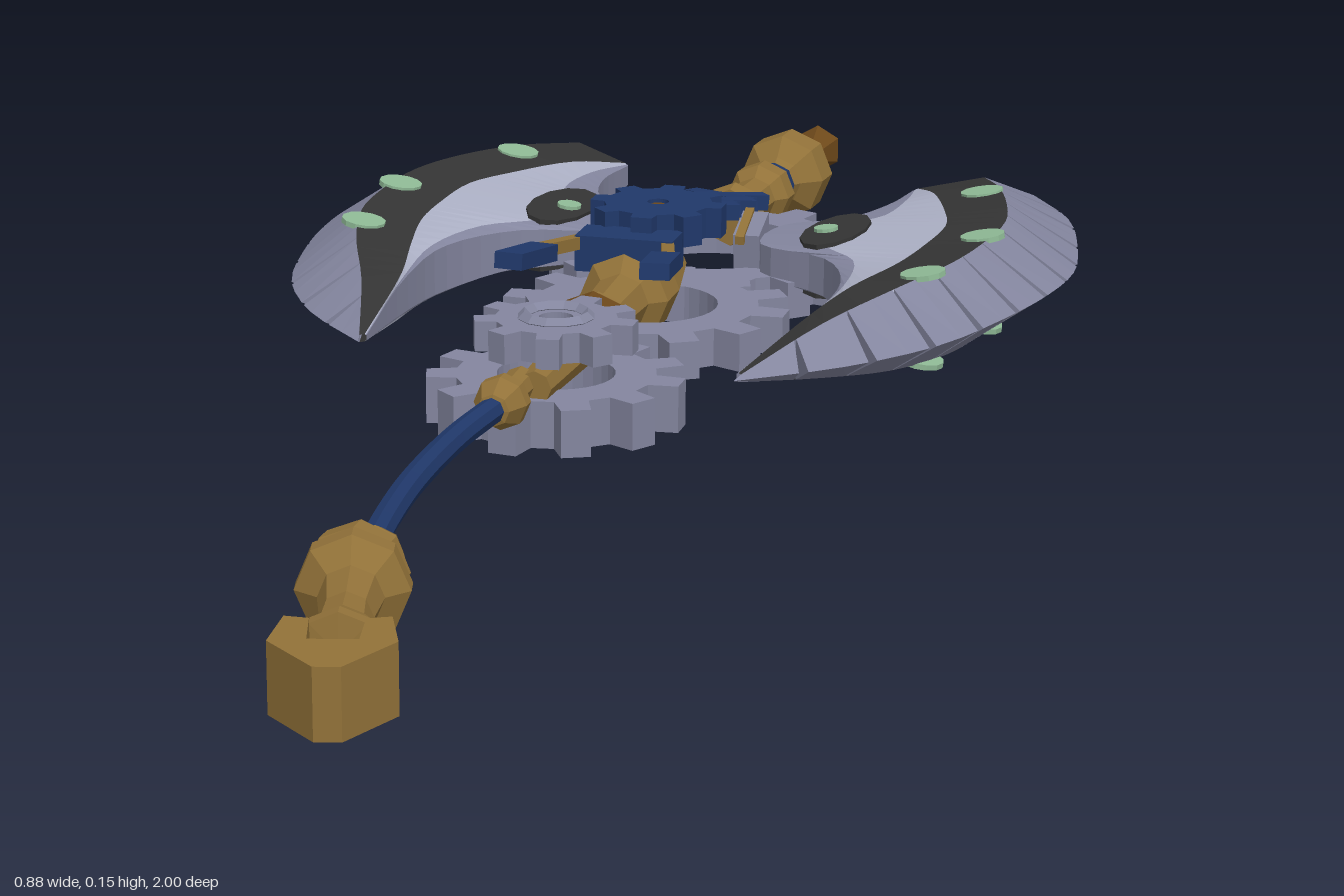
import * as THREE from 'three';

const mat = (name, color, side = THREE.FrontSide) => {
  const m = new THREE.MeshStandardMaterial({ color, side });
  m.name = name;
  return m;
};

export function createModel() {
  const steel = mat('steel', 0x84869f, THREE.DoubleSide);
  const pale = mat('paleSteel', 0xadb1c6, THREE.DoubleSide);
  const dark = mat('darkEnamel', 0x343434, THREE.DoubleSide);
  const gold = mat('bronze', 0x927239);
  const brown = mat('darkBronze', 0x6d481a);
  const blue = mat('blueMetal', 0x20386a);
  const green = mat('greenSpots', 0x8fba96);

  const MID = 0.065; // height of the weapon's mid plane
  const model = new THREE.Group();
  model.name = 'gearAxe';

  const add = (parent, name, geo, material, x = 0, y = 0, z = 0) => {
    const g = geo.index ? geo.toNonIndexed() : geo;
    g.computeVertexNormals();
    const m = new THREE.Mesh(g, material);
    m.name = name;
    m.position.set(x, y, z);
    parent.add(m);
    return m;
  };

  // Faceted turned part lying along z; profile is [radius, z] pairs
  const turned = (profile, sides = 8) =>
    new THREE.LatheGeometry(profile.map(([r, z]) => new THREE.Vector2(r, z)), sides).rotateX(Math.PI / 2);

  // Flat plate in the xz plane, centred in height
  const plate = (shape, h) =>
    new THREE.ExtrudeGeometry(shape, { depth: h, bevelEnabled: false, curveSegments: 16 })
      .translate(0, 0, -h / 2).rotateX(Math.PI / 2);

  const gear = (r, root, hole, teeth, h) => {
    const s = new THREE.Shape();
    for (let i = 0; i < teeth; i++) {
      [[-0.3, root], [-0.2, r], [0.2, r], [0.3, root]].forEach(([o, rad], k) => {
        const a = ((i + o) / teeth) * Math.PI * 2;
        s[i || k ? 'lineTo' : 'moveTo'](Math.cos(a) * rad, Math.sin(a) * rad);
      });
    }
    s.closePath();
    if (hole) s.holes.push(new THREE.Path().absarc(0, 0, hole, 0, Math.PI * 2, true));
    return plate(s, h);
  };

  // Square bar between two points
  const bar = (parent, name, a, b, w, material, h = w) => {
    const p = new THREE.Vector3(...a), q = new THREE.Vector3(...b);
    const m = add(parent, name, new THREE.BoxGeometry(w, h, p.distanceTo(q)), material);
    m.position.copy(p).lerp(q, 0.5);
    m.lookAt(q);
    return m;
  };

  // Gear train
  add(model, 'backGear', gear(0.19, 0.158, 0.112, 16, 0.042), steel, 0.01, 0.029, -0.555);
  add(model, 'middleGear', gear(0.16, 0.125, 0.08, 12, 0.042), steel, 0, 0.029, -0.29);
  add(model, 'frontGear', gear(0.136, 0.105, 0.062, 11, 0.05), steel, -0.018, 0.029, 0.005);
  add(model, 'upperGear', gear(0.086, 0.064, 0.018, 9, 0.032), steel, -0.018, 0.098, 0.005);
  add(model, 'upperGearRing', new THREE.TorusGeometry(0.034, 0.007, 4, 12).rotateX(Math.PI / 2), steel, -0.018, 0.115, 0.005);

  // Axe head, slightly turned against the handle
  const head = new THREE.Group();
  head.name = 'axeHead';
  head.position.set(0, MID, -0.42);
  head.rotation.y = -0.075;
  model.add(head);

  // Blade curves running from back tip to front tip
  const curve = (pts) => new THREE.CatmullRomCurve3(pts.map(([x, y, z]) => new THREE.Vector3(x, y, z)), false, 'centripetal');
  const outer = curve([[.31, 0, -.425], [.375, 0, -.33], [.415, 0, -.21], [.437, 0, -.1], [.432, 0, 0], [.41, 0, .11], [.37, 0, .234], [.3, 0, .34], [.208, 0, .427]]);
  const ridge = curve([[.257, .026, -.39], [.3, .042, -.29], [.335, .05, -.19], [.357, .052, -.1], [.357, .052, 0], [.345, .051, .09], [.31, .045, .19], [.262, .03, .29], [.212, .004, .415]]);
  const band = curve([[.185, .014, -.356], [.225, .03, -.28], [.265, .037, -.18], [.288, .041, -.1], [.288, .041, -.01], [.28, .04, .07], [.255, .036, .165], [.235, .025, .24], [.208, .004, .41]]);
  const inner = curve([[.18, .012, -.352], [.177, .018, -.255], [.15, .02, -.17], [.09, .018, -.125], [.09, .018, -.035], [.18, .022, .015], [.23, .026, .12], [.232, .02, .23], [.206, .003, .41]]);
  const at = (c, t) => c.getPoint(t);
  const middle = { getPoint: (t) => at(band, t).lerp(at(inner, t), 0.6) };

  // Collects quads; mirrored quads get their corners reversed
  const quadGeo = (quads) => {
    const pos = [];
    for (const [a, b, c, d] of quads) for (const p of [a, b, c, a, c, d]) pos.push(p.x, p.y, p.z);
    return new THREE.BufferGeometry().setAttribute('position', new THREE.Float32BufferAttribute(pos, 3));
  };
  const mirror = (p, sx, sy) => new THREE.Vector3(p.x * sx, p.y * sy, p.z);

  const strip = (c1, c2, sx) => {
    const quads = [], N = 32;
    for (const sy of [1, -1]) for (let i = 0; i < N; i++) {
      const q = [at(c1, i / N), at(c2, i / N), at(c2, (i + 1) / N), at(c1, (i + 1) / N)].map((p) => mirror(p, sx, sy));
      quads.push(sx * sy > 0 ? q.reverse() : q);
    }
    return quadGeo(quads);
  };

  // Cutting edge: wedge segments separated by narrow slits
  const edge = (sx) => {
    const quads = [], N = 12;
    for (let i = 0; i < N; i++) {
      const rows = [0, 0.5, 1].map((k) => {
        const t = (i + k) / N, slit = k === 0 && i > 0 ? 0.13 / N : 0;
        const r = at(ridge, t + slit * 0.3);
        return [mirror(r, sx, 1), mirror(at(outer, t + slit), sx, 1), mirror(r, sx, -1)];
      });
      for (let k = 0; k < 2; k++) for (let j = 0; j < 2; j++) {
        const q = [rows[k][j], rows[k][j + 1], rows[k + 1][j + 1], rows[k + 1][j]];
        quads.push(sx > 0 ? q.reverse() : q);
      }
      for (const [a, b, c] of [rows[0], rows[2]]) quads.push([a, b, c, c]);
    }
    return quadGeo(quads);
  };

  for (const sx of [1, -1]) {
    const blade = new THREE.Group();
    blade.name = sx > 0 ? 'leftBlade' : 'rightBlade';
    head.add(blade);
    add(blade, 'cuttingEdge', edge(sx), steel);
    add(blade, 'darkBand', strip(ridge, band, sx), dark);
    add(blade, 'palePanel', strip(band, middle, sx), pale);
    add(blade, 'innerPanel', strip(middle, inner, sx), steel);
    // Wall closing the inner rim
    const rim = [];
    for (let i = 0; i < 32; i++) {
      const [p, q] = [at(inner, i / 32), at(inner, (i + 1) / 32)];
      rim.push([mirror(p, sx, 1), mirror(q, sx, 1), mirror(q, sx, -1), mirror(p, sx, -1)]);
    }
    add(blade, 'innerRim', quadGeo(rim), steel);
    bar(blade, 'bladeStrut', [sx * 0.03, 0, -0.08], [sx * 0.1, 0, -0.08], 0.03, steel, 0.06);
    bar(blade, 'strutPin', [sx * 0.02, 0.035, -0.07], [sx * 0.1, 0.02, -0.07], 0.01, gold);

    // Painted patch and spots on both faces
    const disc = (name, x, y, z, rx, rz, tilt, material) => {
      for (const sy of [1, -1]) {
        const d = add(blade, name, new THREE.CylinderGeometry(1, 1, 0.006, 12).scale(rx, 1, rz), material, sx * x, sy * y, z);
        d.rotation.z = sx * sy * tilt;
      }
    };
    disc('darkPatch', 0.165, 0.028, -0.08, 0.036, 0.075, 0.11, dark);
    disc('smallSpot', 0.155, 0.031, -0.075, 0.014, 0.014, 0.11, green);
    for (const [t, k] of [[0.16, 0.3], [0.46, 0.15], [0.68, 0.1]]) {
      const p = at(ridge, t).lerp(at(band, t), k);
      disc('greenSpot', p.x, p.y, p.z, 0.025, 0.025, 0.15, green);
    }
  }

  // Pommel and collars behind the head
  add(head, 'backBall', turned([[0, -.47], [.03, -.467], [.052, -.445], [.052, -.405], [.03, -.385], [.022, -.37], [0, -.37]]), gold);
  add(head, 'blueNeck', turned([[0, -.385], [.024, -.38], [.03, -.355], [.022, -.33], [0, -.33]]), blue);
  add(head, 'backCollar', turned([[0, -.34], [.038, -.335], [.038, -.31], [.026, -.295], [.026, -.235], [.038, -.22], [.034, -.2], [0, -.2]]), gold);
  add(model, 'backSpike', turned([[0, -1], [.02, -.995], [.03, -.98], [.012, -.94], [0, -.915]], 6), brown, 0.04, MID, 0);

  // Crossed blue links rising to the hub
  const nodes = [[.045, .085, -.63], [.05, .1, -.545], [.05, .115, -.465], [.035, .125, -.4]];
  for (const s of [1, -1]) for (let i = 0; i < 3; i++) {
    const [a, b] = [nodes[i], nodes[i + 1]], k = i % 2 ? -s : s;
    bar(model, 'crossLink', [k * a[0] + 0.01, a[1], a[2]], [-k * b[0] + 0.008, b[1], b[2]], 0.018, blue);
  }

  // Blue hub with two prongs
  add(model, 'hub', gear(0.076, 0.06, 0.012, 8, 0.034), blue, -0.003, 0.132, -0.355);
  add(model, 'hubPin', new THREE.CylinderGeometry(0.011, 0.011, 0.09, 8), brown, -0.003, 0.1, -0.355);
  add(model, 'hubBlock', new THREE.BoxGeometry(0.11, 0.04, 0.05), blue, -0.015, 0.112, -0.275);
  for (const s of [1, -1]) {
    const x = (v) => -0.018 + s * v;
    bar(model, 'prongArm', [x(0.045), 0.12, -0.28], [x(0.072), 0.132, -0.18], 0.014, gold);
    bar(model, 'prong', [x(0.068), 0.13, -0.185], [x(0.08), 0.143, -0.09], 0.032, blue, 0.018);
  }

  // Central bronze barrel under the hub and through the front gear
  add(model, 'barrel', turned([[0, -.42], [.03, -.41], [.05, -.3], [.05, -.25], [.032, -.235], [.028, -.16], [.036, -.145], [.036, -.08], [.024, -.06], [.018, .1], [0, .1]]), gold, -0.014, MID, 0);
  add(model, 'barrelBand', turned([[.03, -.135], [.042, -.125], [.042, -.1], [.03, -.09]]), brown, -0.014, MID, 0);
  add(model, 'frontCollar', turned([[0, .08], [.018, .085], [.016, .13], [.028, .145], [.028, .16], [.017, .185], [0, .19]]), gold, -0.032, MID, 0);

  // Curved shaft
  const shaft = curve([[-.032, MID, .17], [-.041, MID, .28], [-.04, MID, .42], [-.03, MID, .53], [-.014, MID, .64]]);
  add(model, 'shaft', new THREE.TubeGeometry(shaft, 20, 0.0135, 8), blue);

  // Bronze grip with rings and a forked end
  add(model, 'gripCollar', turned([[0, .61], [.02, .612], [.028, .63], [.018, .65], [.03, .66], [.046, .668], [.046, .69], [.03, .7], [0, .7]]), gold, -0.008, MID, 0);
  const grip = new THREE.Group();
  grip.name = 'grip';
  grip.position.set(0, MID, 0.715);
  grip.rotation.y = 0.25;
  model.add(grip);
  add(grip, 'gripHandle', turned([[0, -.025], [.025, -.022], [.052, -.01], [.052, .012], [.03, .03], [.024, .08], [.026, .12], [.036, .15], [.036, .165], [0, .17]]), gold);
  const fork = new THREE.Shape([[-.046, -.05], [-.055, .01], [-.012, .07], [.012, .07], [.055, .01], [.046, -.05], [.024, -.045], [.022, .005], [-.022, .005], [-.024, -.045]].map(([x, y]) => new THREE.Vector2(x, y)));
  add(grip, 'forkedEnd', plate(fork, 0.066), gold, 0, 0, 0.217);

  return model;
}
